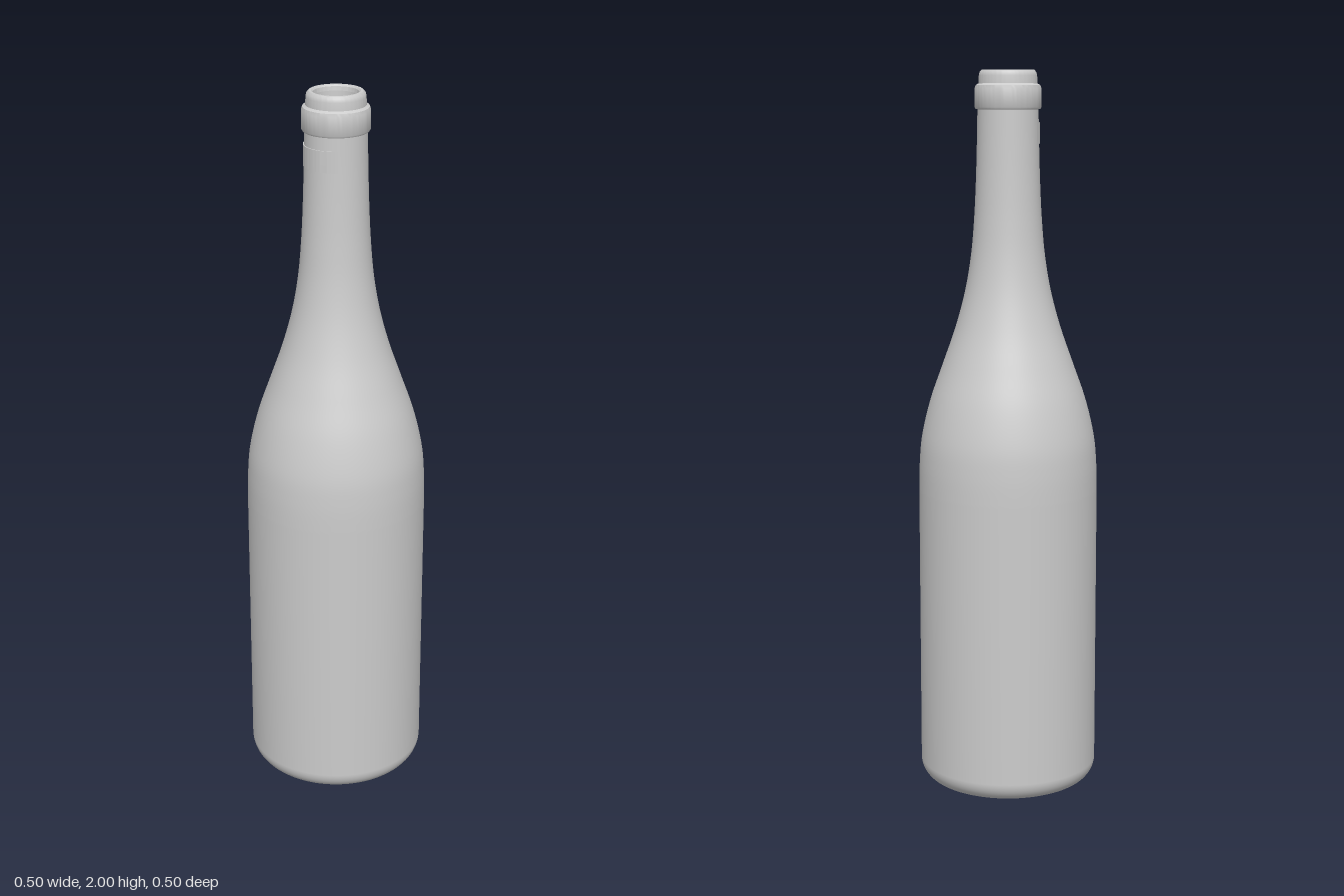
import * as THREE from 'three';
import { toCreasedNormals } from 'three/addons/utils/BufferGeometryUtils.js';

const SEGMENTS = 96;
const vectors = (points) => points.map(([r, y]) => new THREE.Vector2(r, y));
const smooth = (points, n) => new THREE.SplineCurve(vectors(points)).getPoints(n);

export function createModel() {
  const bottle = new THREE.Group();
  bottle.name = 'bottle';
  const glass = new THREE.MeshStandardMaterial({ color: 0xcccccc, side: THREE.DoubleSide });

  function addLathe(name, profile, creased = false, start = 0, sweep = Math.PI * 2) {
    let geometry = new THREE.LatheGeometry(profile, SEGMENTS, start, sweep);
    if (creased) geometry = toCreasedNormals(geometry, 0.6);
    const mesh = new THREE.Mesh(geometry, glass);
    mesh.name = name;
    bottle.add(mesh);
  }

  // Hollow under the base, from its blunt tip down to the standing ring
  addLathe('punt', smooth([
    [0, 0.2], [0.03, 0.195], [0.06, 0.17], [0.1, 0.115], [0.145, 0.055], [0.175, 0.015], [0.2, 0],
  ], 28));

  // Rounded heel, straight side, sloping shoulder and neck
  const heel = [];
  for (let i = 0; i <= 10; i++) {
    const a = (i / 10) * Math.PI / 2;
    heel.push(new THREE.Vector2(0.2 + 0.05 * Math.sin(a), 0.055 * (1 - Math.cos(a))));
  }
  const shoulder = smooth([
    [0.25, 0.84], [0.248, 0.92], [0.24, 1.0], [0.216, 1.1], [0.181, 1.2], [0.146, 1.3],
    [0.119, 1.4], [0.102, 1.5], [0.093, 1.6], [0.088, 1.7], [0.085, 1.8], [0.083, 1.9],
  ], 60);
  addLathe('body', [...heel, new THREE.Vector2(0.25, 0.45), ...shoulder]);

  // Collar and lip around the mouth
  addLathe('mouthRing', vectors([
    [0.083, 1.895], [0.088, 1.896], [0.091, 1.901], [0.091, 1.95], [0.088, 1.959], [0.08, 1.964],
    [0.079, 1.985], [0.077, 1.994], [0.071, 2.0], [0.064, 2.0], [0.06, 1.996], [0.058, 1.985],
  ]), true);

  // Inner wall, running down from the mouth
  addLathe('innerWall', smooth([
    [0.058, 1.985], [0.056, 1.93], [0.055, 1.87], [0.058, 1.75], [0.068, 1.6], [0.08, 1.48],
    [0.12, 1.3], [0.19, 1.1], [0.22, 0.95], [0.226, 0.8], [0.226, 0.45], [0.224, 0.1], [0.2, 0.045],
  ], 70));

  // Inner floor rising over the punt
  addLathe('innerFloor', vectors([[0.2, 0.045], [0.17, 0.07], [0.12, 0.135], [0.06, 0.215], [0, 0.225]]));

  // Shallow raised band running part of the way round the neck
  addLathe('neckBand', vectors([
    [0.082, 1.803], [0.087, 1.803], [0.0865, 1.86], [0.082, 1.86],
  ]), true, -1.75, 2.2);

  return bottle;
}
